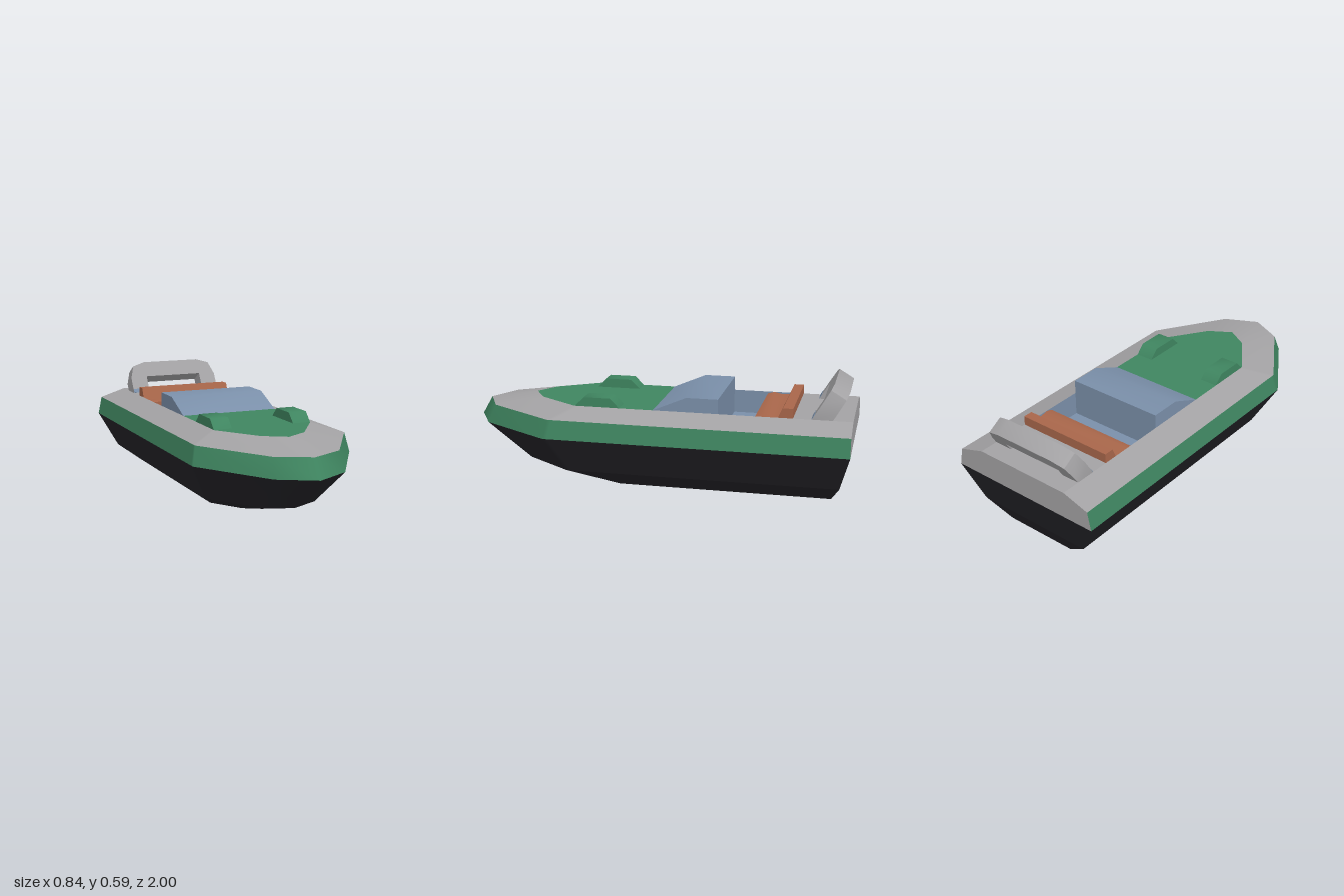
import * as THREE from 'three';
import { mergeGeometries, toCreasedNormals } from 'three/addons/utils/BufferGeometryUtils.js';

const paint = (name, color, side = THREE.FrontSide) => {
  const m = new THREE.MeshStandardMaterial({ color, side });
  m.name = name;
  return m;
};

// Plan outline of the boat at one height: starboard stern, round the bow, to port stern
function ring(y, w, stern, corner, shoulderX, shoulderZ, tip) {
  const half = [[w, stern], [w, corner - 0.02], [w, corner], [shoulderX, shoulderZ]];
  const port = half.map(([x, z]) => [-x, z]).reverse();
  return [...half, [0, tip], ...port].map(([x, z]) => new THREE.Vector3(x, y, z));
}

function surface(points, index) {
  const g = new THREE.BufferGeometry().setFromPoints(points);
  g.setIndex(index);
  g.computeVertexNormals();
  return g;
}

// Side strip between two outlines
function band(low, high) {
  const n = low.length, index = [];
  for (let i = 0; i < n - 1; i++) {
    index.push(i, n + i, n + i + 1, i, n + i + 1, i + 1);
  }
  return surface([...low, ...high], index);
}

// Stern strip between two outlines
function transom(low, high) {
  return surface([low[0], low.at(-1), high.at(-1), high[0]], [0, 1, 2, 0, 2, 3]);
}

// Flat cap; up decides which way it faces
function cap(points, up) {
  const index = [];
  for (let i = 1; i < points.length - 1; i++) index.push(0, ...(up ? [i + 1, i] : [i, i + 1]));
  return surface(points, index);
}

// Extrude a [z, y] side profile across x
function profile(points, width, x = 0) {
  const shape = new THREE.Shape(points.map(([z, y]) => new THREE.Vector2(z, y)));
  const g = new THREE.ExtrudeGeometry(shape, { depth: width, bevelEnabled: false });
  g.rotateY(-Math.PI / 2).translate(x + width / 2, 0, 0);
  return toCreasedNormals(g, 0.9);
}

export function createModel() {
  const boat = new THREE.Group();
  boat.name = 'boat';
  const black = paint('hull black', 0x232227);
  const green = paint('trim green', 0x3f8560);
  const grey = paint('deck grey', 0xa3a2a4);
  const blue = paint('cockpit blue', 0x7a8fa9);
  const orange = paint('seat orange', 0xa8664a);
  const wellBlue = blue; // the well shares the cockpit colour
  const add = (name, geometry, material, parent = boat) => {
    const m = new THREE.Mesh(geometry, material);
    m.name = name;
    parent.add(m);
    return m;
  };

  // Outlines from keel to deck
  const keel = ring(0, 0.19, -0.905, 0.18, 0.085, 0.34, 0.39);
  const chine = ring(0.095, 0.318, -0.95, 0.43, 0.14, 0.68, 0.75);
  const rub = ring(0.283, 0.418, -1, 0.52, 0.18, 0.9, 1);
  const rail = ring(0.378, 0.398, -1, 0.5, 0.17, 0.86, 0.945);
  const deck = ring(0.422, 0.26, -1, 0.4, 0.115, 0.615, 0.685);

  // Hull
  add('hull', mergeGeometries([
    band(keel, chine), band(chine, rub),
    transom(keel, chine), transom(chine, rub), cap(keel, false),
  ]), black);
  add('greenSideBand', band(rub, rail), green);
  const sternDeck = new THREE.PlaneGeometry(0.52, 0.29).rotateX(-Math.PI / 2).translate(0, 0.422, -0.855);
  add('sideDeck', band(rail, deck), grey);
  add('sternDeck', sternDeck, grey);
  add('upperTransom', mergeGeometries([transom(rub, rail), transom(rail, deck)]), grey);

  // Green foredeck inside the grey rim
  const fore = deck.map((p) => p.clone());
  fore[0].z = fore.at(-1).z = -0.01;
  add('foredeck', cap(fore, true), green);

  // Cockpit well: floor and four inward walls, made by turning a box inside out
  const well = new THREE.BoxGeometry(0.52, 0.122, 0.37).toNonIndexed();
  const kept = [];
  const pos = well.attributes.position;
  for (let i = 0; i < pos.count; i += 3) {
    const v = [0, 2, 1].map((k) => new THREE.Vector3().fromBufferAttribute(pos, i + k));
    if (!v.every((p) => p.y > 0)) kept.push(...v);
  }
  const inside = new THREE.BufferGeometry().setFromPoints(kept).translate(0, 0.361, -0.525);
  inside.computeVertexNormals();
  add('cockpitWell', inside, wellBlue);

  // Raised windscreen and console
  add('windscreen', profile([
    [-0.01, 0.422], [-0.18, 0.495], [-0.34, 0.495], [-0.34, 0.3], [-0.01, 0.3],
  ], 0.52), blue);

  // Bench seat with backrest
  add('seat', profile([
    [-0.52, 0.301], [-0.52, 0.412], [-0.555, 0.422], [-0.6, 0.412], [-0.635, 0.414],
    [-0.66, 0.47], [-0.71, 0.47], [-0.71, 0.301],
  ], 0.518), orange);

  // Deck scoops
  for (const s of [-1, 1]) {
    add(s > 0 ? 'leftScoop' : 'rightScoop', profile([
      [0.4, 0.415], [0.395, 0.424], [0.35, 0.469], [0.21, 0.469], [0.165, 0.424], [0.16, 0.415],
    ], 0.095, s * 0.2125), green);
  }

  // Backward-leaning stern arch
  const arch = new THREE.Group();
  arch.name = 'sternArch';
  arch.position.set(0, 0.422, -0.8);
  arch.rotation.x = -0.545;
  boat.add(arch);
  const half = [[0.165, 0], [0.26, 0], [0.26, 0.094], [0.235, 0.168], [0.165, 0.191]];
  const left = half.map(([x, y]) => [-x, y]).reverse();
  const outline = [...half, ...left, [-0.165, 0.1], [0.165, 0.1]];
  const shape = new THREE.Shape(outline.map(([x, y]) => new THREE.Vector2(x, y)));
  const archGeo = new THREE.ExtrudeGeometry(shape, { depth: 0.0875, bevelEnabled: false });
  archGeo.translate(0, 0, -0.0875);
  add('archFrame', toCreasedNormals(archGeo, 0.9), grey, arch);

  // Blue plates at the feet of the arch
  for (const s of [-1, 1]) {
    const foot = add(s > 0 ? 'leftFootPlate' : 'rightFootPlate', new THREE.BoxGeometry(0.094, 0.024, 0.004), blue, arch);
    foot.position.set(s * 0.2125, 0.013, 0);
  }
  return boat;
}
